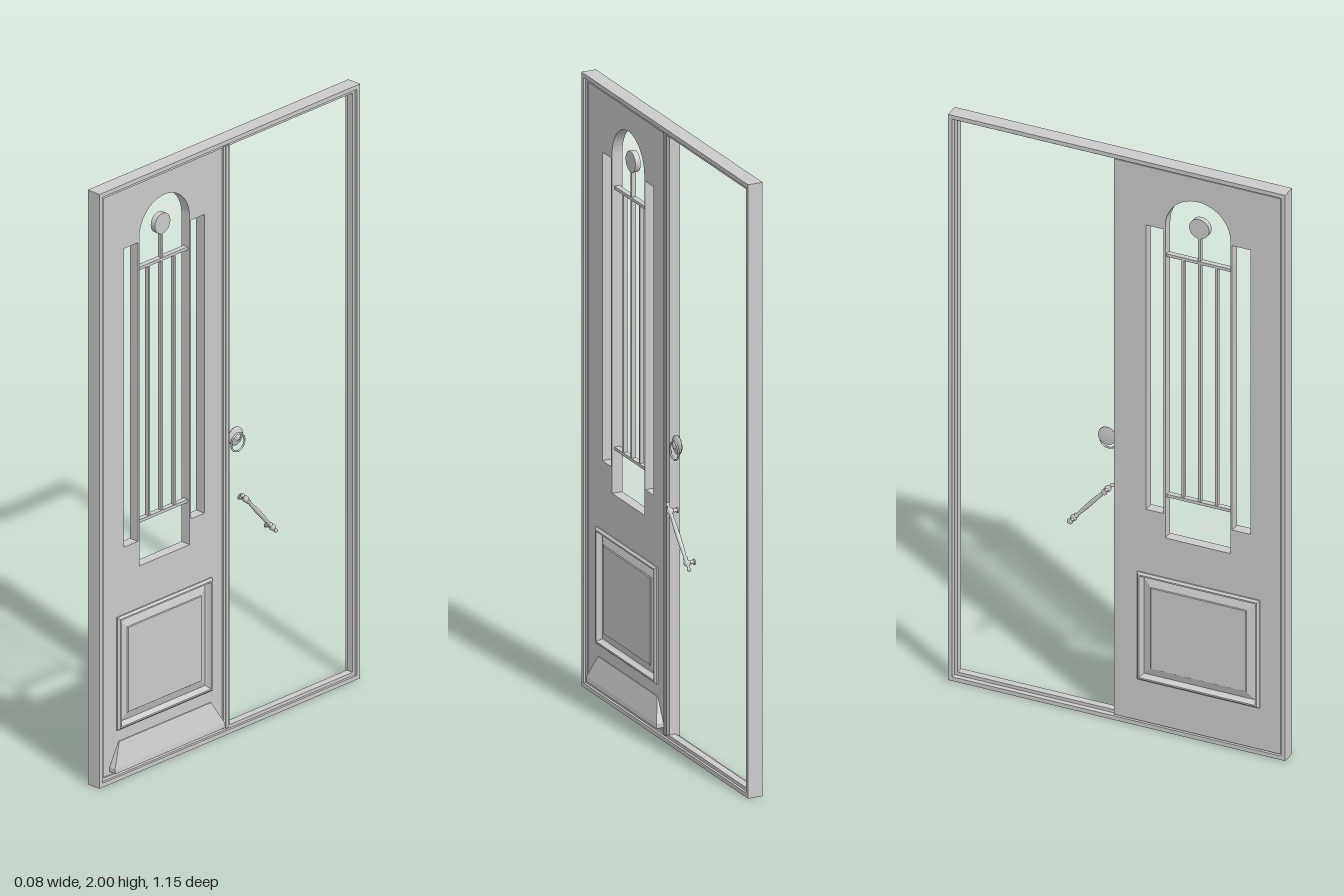
import * as THREE from 'three';

const mat = new THREE.MeshStandardMaterial({ color: 0xcccccc, side: THREE.DoubleSide });

// Working frame: u across the door, y up, d depth (outside is +d); turned to face +x at the end.
export function createModel() {
  const model = new THREE.Group();
  model.name = 'doorWithFrame';
  model.rotation.y = Math.PI / 2;

  const add = (name, geo, u = 0, y = 0, d = 0, parent = model) => {
    const m = new THREE.Mesh(geo, mat);
    m.name = name;
    m.position.set(u, y, d);
    parent.add(m);
    return m;
  };
  const bar = (name, u0, u1, y0, y1, d0, d1) =>
    add(name, new THREE.BoxGeometry(u1 - u0, y1 - y0, d1 - d0), (u0 + u1) / 2, (y0 + y1) / 2, (d0 + d1) / 2);
  const rect = (P, u0, u1, y0, y1) => {
    const p = new P();
    p.moveTo(u0, y0).lineTo(u1, y0).lineTo(u1, y1).lineTo(u0, y1).closePath();
    return p;
  };
  const slab = (name, shape, d0, d1) =>
    add(name, new THREE.ExtrudeGeometry(shape, { depth: d1 - d0, bevelEnabled: false, curveSegments: 24 }), 0, 0, d0);

  // Stepped frame: outer jambs and a shallower stop inside them
  const ring = (name, hw, y0, y1, t, d0, d1) => {
    const s = rect(THREE.Shape, -hw, hw, y0, y1);
    s.holes.push(rect(THREE.Path, -hw + t, hw - t, y0 + t, y1 - t));
    slab(name, s, d0, d1);
  };
  ring('outerFrame', 0.575, 0, 2, 0.014, -0.035, 0.015);
  ring('frameStop', 0.561, 0.014, 1.986, 0.011, -0.018, 0.007);

  // Leaf with arched light, two side lights and a panel opening
  const D0 = -0.032, D1 = 0.003, C = -0.276, R = 0.111;
  const leaf = rect(THREE.Shape, -0.558, 0.01, 0.018, 1.982);
  const arch = new THREE.Path();
  arch.moveTo(C - R, 0.685).lineTo(C + R, 0.685).lineTo(C + R, 1.789);
  arch.absarc(C, 1.789, R, 0, Math.PI, false);
  arch.closePath();
  leaf.holes.push(
    arch,
    rect(THREE.Path, -0.455, -0.393, 0.77, 1.775),
    rect(THREE.Path, -0.159, -0.1, 0.77, 1.775),
    rect(THREE.Path, -0.488, -0.07, 0.165, 0.545)
  );
  slab('doorLeaf', leaf, D0, D1);

  // Grille
  for (const y of [0.83, 1.68]) bar('grilleRail', C - R, C + R, y - 0.005, y + 0.005, -0.023, -0.005);
  for (const du of [-0.057, 0, 0.057])
    bar('grilleBar', C + du - 0.004, C + du + 0.004, 0.83, du ? 1.68 : 1.78, -0.021, -0.007);
  add('grilleDisc', new THREE.CylinderGeometry(0.034, 0.034, 0.018, 32), C, 1.8, -0.014).rotation.x = Math.PI / 2;

  // Meeting strip along the free edge
  bar('meetingStrip', -0.022, 0.004, 0.02, 1.98, D1, 0.009);
  bar('meetingBead', -0.014, -0.002, 0.02, 1.98, 0.009, 0.013);

  // Moulded raised panel on each face: nested rectangles given as [inset, depth]
  const panelGeo = (w, h, steps) => {
    const loops = steps.map(([i, d]) => {
      const a = w / 2 - i, b = h / 2 - i;
      return [[-a, -b, d], [a, -b, d], [a, b, d], [-a, b, d]];
    });
    const pos = [];
    const quad = (a, b, c, d) => pos.push(...a, ...b, ...c, ...a, ...c, ...d);
    for (let k = 0; k < loops.length - 1; k++)
      for (let i = 0; i < 4; i++) {
        const j = (i + 1) % 4;
        quad(loops[k][i], loops[k][j], loops[k + 1][j], loops[k + 1][i]);
      }
    quad(...loops[loops.length - 1]);
    const g = new THREE.BufferGeometry();
    g.setAttribute('position', new THREE.Float32BufferAttribute(pos, 3));
    g.computeVertexNormals();
    return g;
  };
  const panel = panelGeo(0.418, 0.38, [
    [0, 0.016], [0, 0.022], [0.006, 0.0285], [0.011, 0.0285], [0.016, 0.015], [0.02, 0.011], [0.046, 0.019], [0.048, 0.022]
  ]);
  add('outerPanel', panel, -0.279, 0.355, -0.0145);
  add('innerPanel', panel, -0.279, 0.355, -0.0145).rotation.y = Math.PI;

  // Sloping weatherboard, narrowing towards its top
  const board = new THREE.BoxGeometry(1, 1, 1, 1, 2, 1).toNonIndexed();
  const p = board.attributes.position;
  const levels = [[0.035, 0.2425, 0.028], [0.05, 0.2425, 0.026], [0.125, 0.203, 0.006]];
  for (let i = 0; i < p.count; i++) {
    const [y, half, d] = levels[Math.round((p.getY(i) + 0.5) * 2)];
    p.setXYZ(i, Math.sign(p.getX(i)) * half, y, p.getZ(i) > 0 ? d : 0);
  }
  board.computeVertexNormals();
  add('weatherboard', board, -0.2755, 0, 0);

  // Ring pull on a domed rose
  const rose = [[0, -0.008], [0.03, -0.008], [0.031, -0.004], [0.025, 0], [0.013, 0.002], [0.011, 0.007], [0.006, 0.01], [0, 0.011]];
  add('ringRose', new THREE.LatheGeometry(rose.map(([r, y]) => new THREE.Vector2(r, y)), 28), 0.046, 0.98, 0).rotation.x = Math.PI / 2;
  add('pullRing', new THREE.TorusGeometry(0.029, 0.003, 10, 36), 0.046, 0.962, 0.005);

  // Slanted pull handle: turned bar with ball ends and short posts
  const handle = new THREE.Group();
  handle.name = 'pullHandle';
  handle.position.set(0.1175, 0.7075, 0.026);
  handle.rotation.z = Math.atan2(0.155, 0.175);
  model.add(handle);
  const half = [[0.0075, 0], [0.007, 0.03], [0.005, 0.068], [0.008, 0.071], [0.008, 0.075], [0.005, 0.078],
    [0.009, 0.082], [0.011, 0.088], [0.009, 0.095], [0.004, 0.1], [0.004, 0.105], [0.007, 0.109], [0.006, 0.114], [0, 0.118]];
  const profile = [...half.slice(1).reverse().map(([r, y]) => [r, -y]), ...half];
  add('handleBar', new THREE.LatheGeometry(profile.map(([r, y]) => new THREE.Vector2(r, y)), 20), 0, 0, 0, handle);
  for (const s of [-1, 1]) {
    add('handlePost', new THREE.CylinderGeometry(0.006, 0.006, 0.022, 14), 0, s * 0.088, -0.013, handle).rotation.x = Math.PI / 2;
    add('handleFoot', new THREE.CylinderGeometry(0.009, 0.01, 0.004, 14), 0, s * 0.088, -0.024, handle).rotation.x = Math.PI / 2;
  }

  const root = new THREE.Group();
  root.name = 'door';
  root.add(model);
  return root;
}
